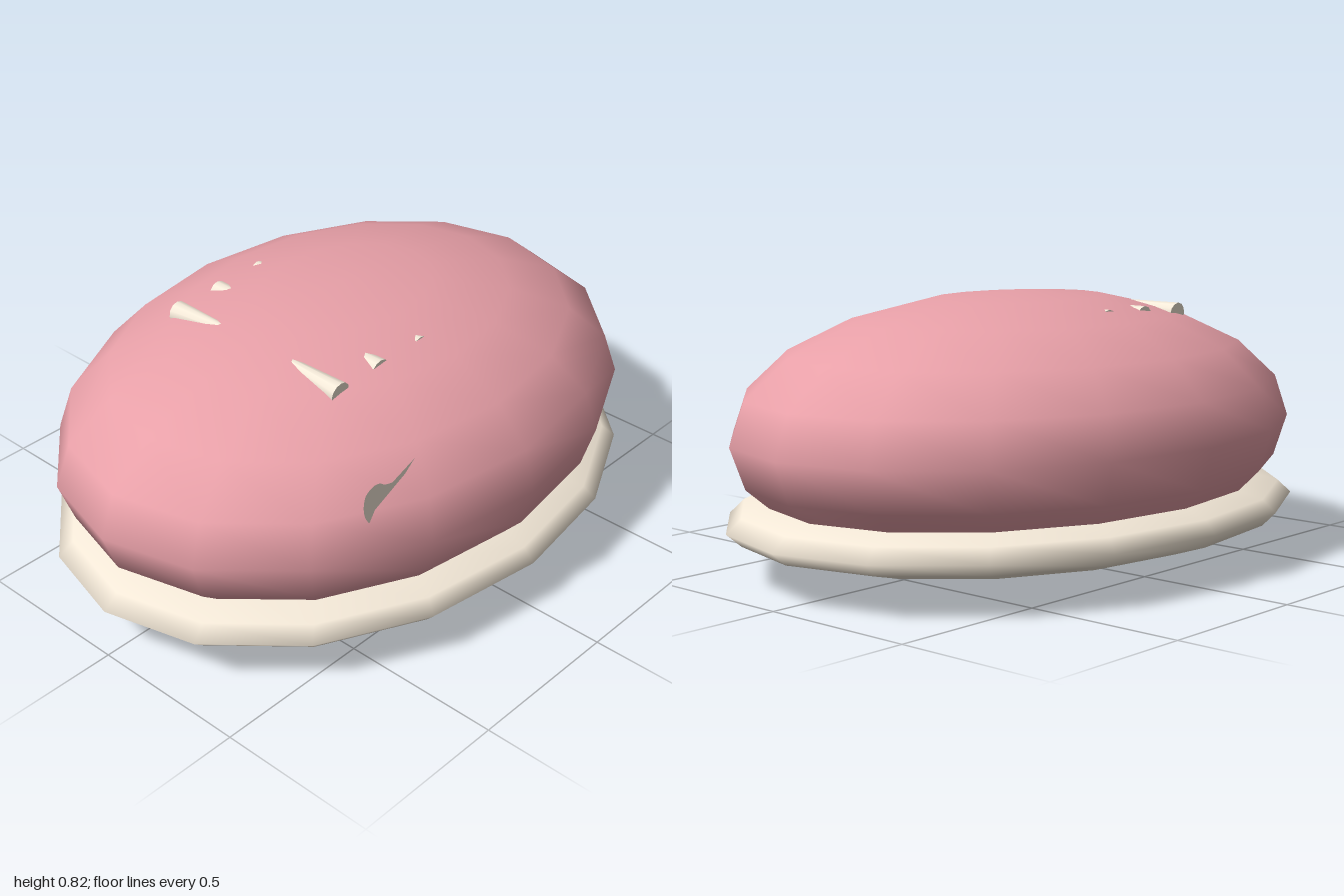
import * as THREE from 'three';

const pink = new THREE.MeshStandardMaterial({ color: 0xe8a0a8 });
const cream = new THREE.MeshStandardMaterial({ color: 0xf4e9d8 });
const creamThin = new THREE.MeshStandardMaterial({ color: 0xf4e9d8, side: THREE.DoubleSide });

export function createModel() {
  const group = new THREE.Group();

  const add = (name, geometry, material, x, y, z) => {
    const mesh = new THREE.Mesh(geometry, material);
    mesh.name = name;
    mesh.position.set(x, y, z);
    group.add(mesh);
    return mesh;
  };

  // Squashed ovals: the domed body and the flat underside shell around it
  const oval = () => new THREE.SphereGeometry(1, 16, 10);
  add('body', oval(), pink, 0, 0.41, 0).scale.set(0.738, 0.41, 0.985);
  add('undersideShell', oval(), cream, 0, 0.16, 0).scale.set(0.755, 0.13, 1);

  // Three pairs of tapered spikes, sunk into the back and pointing inward
  const length = 0.25, tilt = 0.092;
  const spike = new THREE.CylinderGeometry(0.012, 0.035, length, 12);
  spike.translate(0, length / 2, 0);
  for (const side of [-1, 1]) {
    for (const z of [0.37, 0.205, 0.035]) {
      const mesh = add(side > 0 ? 'leftSpike' : 'rightSpike', spike, cream, side * 0.328, 0.74, z);
      mesh.rotation.z = side * (Math.PI / 2 - tilt);
    }
  }

  // Thin upright fin on the left side: a round lobe with a slim tail
  const fin = new THREE.Shape();
  fin.moveTo(-0.34, 0.625);
  fin.lineTo(-0.43, 0.592);
  fin.quadraticCurveTo(-0.46, 0.595, -0.48, 0.614);
  fin.quadraticCurveTo(-0.51, 0.628, -0.54, 0.602);
  fin.quadraticCurveTo(-0.56, 0.55, -0.525, 0.505);
  fin.lineTo(-0.48, 0.5);
  fin.lineTo(-0.42, 0.56);
  fin.closePath();
  const finGeometry = new THREE.ShapeGeometry(fin, 6);
  finGeometry.rotateY(Math.PI / 2);
  add('leftFin', finGeometry, creamThin, 0.577, 0, 0);

  return group;
}
